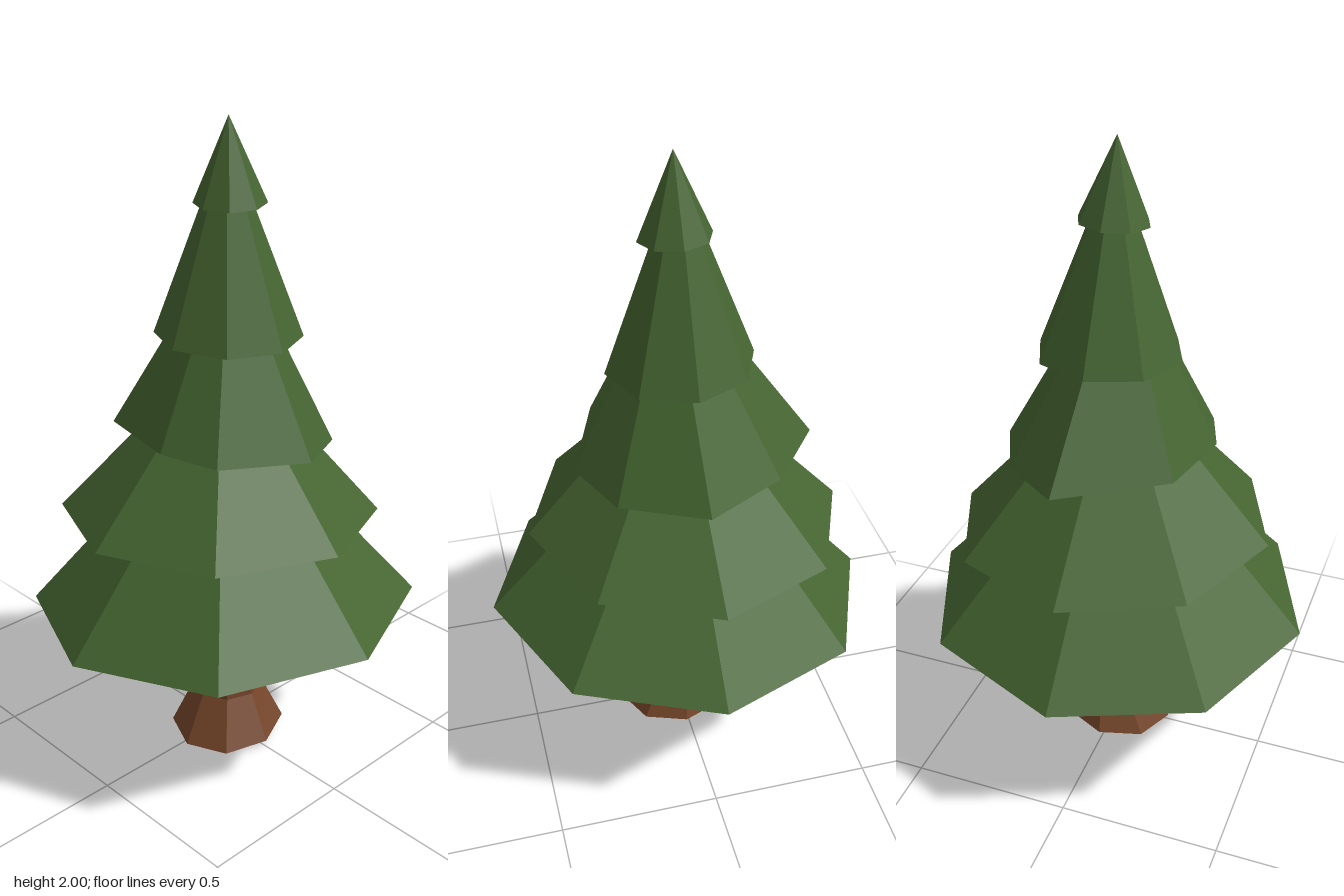
import * as THREE from 'three';

const SIDES = 8;
const leafMaterial = new THREE.MeshStandardMaterial({ color: 0x456531, flatShading: true });
const barkMaterial = new THREE.MeshStandardMaterial({ color: 0x744529, flatShading: true });

// Tilted eight-sided ring: y rises by tiltX per unit x and tiltZ per unit z
function ring(cx, y, cz, r, tiltX = 0, tiltZ = 0) {
  return Array.from({ length: SIDES }, (_, i) => {
    const a = (i / SIDES) * Math.PI * 2;
    const x = cx + r * Math.cos(a), z = cz + r * Math.sin(a);
    return new THREE.Vector3(x, y + tiltX * x + tiltZ * z, z);
  });
}

// Faceted mesh from a list of triangles
function facetMesh(name, points, material) {
  const geometry = new THREE.BufferGeometry().setFromPoints(points);
  geometry.computeVertexNormals();
  const mesh = new THREE.Mesh(geometry, material);
  mesh.name = name;
  return mesh;
}

// Cone of foliage from a rim up to its tip, with a shallow hollow underside
function foliage(name, rim, tip, hollowY) {
  const apex = new THREE.Vector3(...tip);
  const hollow = new THREE.Vector3(0, hollowY, 0);
  const points = rim.flatMap((p, i) => {
    const q = rim[(i + 1) % SIDES];
    return [p, apex, q, p, q, hollow];
  });
  return facetMesh(name, points, leafMaterial);
}

// Trunk skinned through stacked rings, closed at the foot
function trunk(rings) {
  const points = [];
  for (let k = 0; k < rings.length - 1; k++) {
    for (let i = 0; i < SIDES; i++) {
      const j = (i + 1) % SIDES;
      const [a, b, c, d] = [rings[k][i], rings[k][j], rings[k + 1][i], rings[k + 1][j]];
      points.push(a, c, b, b, c, d);
    }
  }
  for (let i = 1; i < SIDES - 1; i++) points.push(rings[0][0], rings[0][i], rings[0][i + 1]);
  return facetMesh('trunk', points, barkMaterial);
}

export function createModel() {
  const tree = new THREE.Group();
  tree.name = 'pineTree';

  // Flared trunk with an uneven foot
  tree.add(trunk([
    ring(0.016, 0.024, -0.005, 0.183, -0.02, -0.11),
    ring(0.004, 0.156, -0.019, 0.113, 0, -0.04),
    ring(-0.006, 0.5, -0.01, 0.086),
    ring(0, 0.84, 0, 0.055),
  ]));

  // The irregular middle rim, given as x, z pairs
  const middleRim = [
    [0.328, -0.04], [0.224, 0.237], [0.05, 0.296], [-0.22, 0.247],
    [-0.4, -0.058], [-0.247, -0.247], [-0.01, -0.355], [0.237, -0.234],
  ].map(([x, z]) => new THREE.Vector3(x, 1.066 - 0.05 * x + 0.08 * z, z));

  // Foliage tiers from bottom to top: rim, tip, height of the hollow
  const tiers = [
    ['bottomFoliage', ring(0, 0.5, 0, 0.606, 0.042, -0.015), [0, 1.175, 0], 0.79],
    ['lowerFoliage', ring(-0.021, 0.797, -0.005, 0.495, 0.022, 0.03), [0, 1.345, 0], 1.0],
    ['middleFoliage', middleRim, [0.025, 1.68, 0], 1.22],
    ['upperFoliage', ring(0, 1.364, -0.023, 0.222, -0.03, 0), [0.005, 1.95, -0.01], 1.47],
    ['topFoliage', ring(0.013, 1.756, -0.016, 0.107, -0.04, -0.05), [0.015, 2, -0.007], 1.8],
  ];
  for (const [name, rim, tip, hollowY] of tiers) tree.add(foliage(name, rim, tip, hollowY));

  return tree;
}
